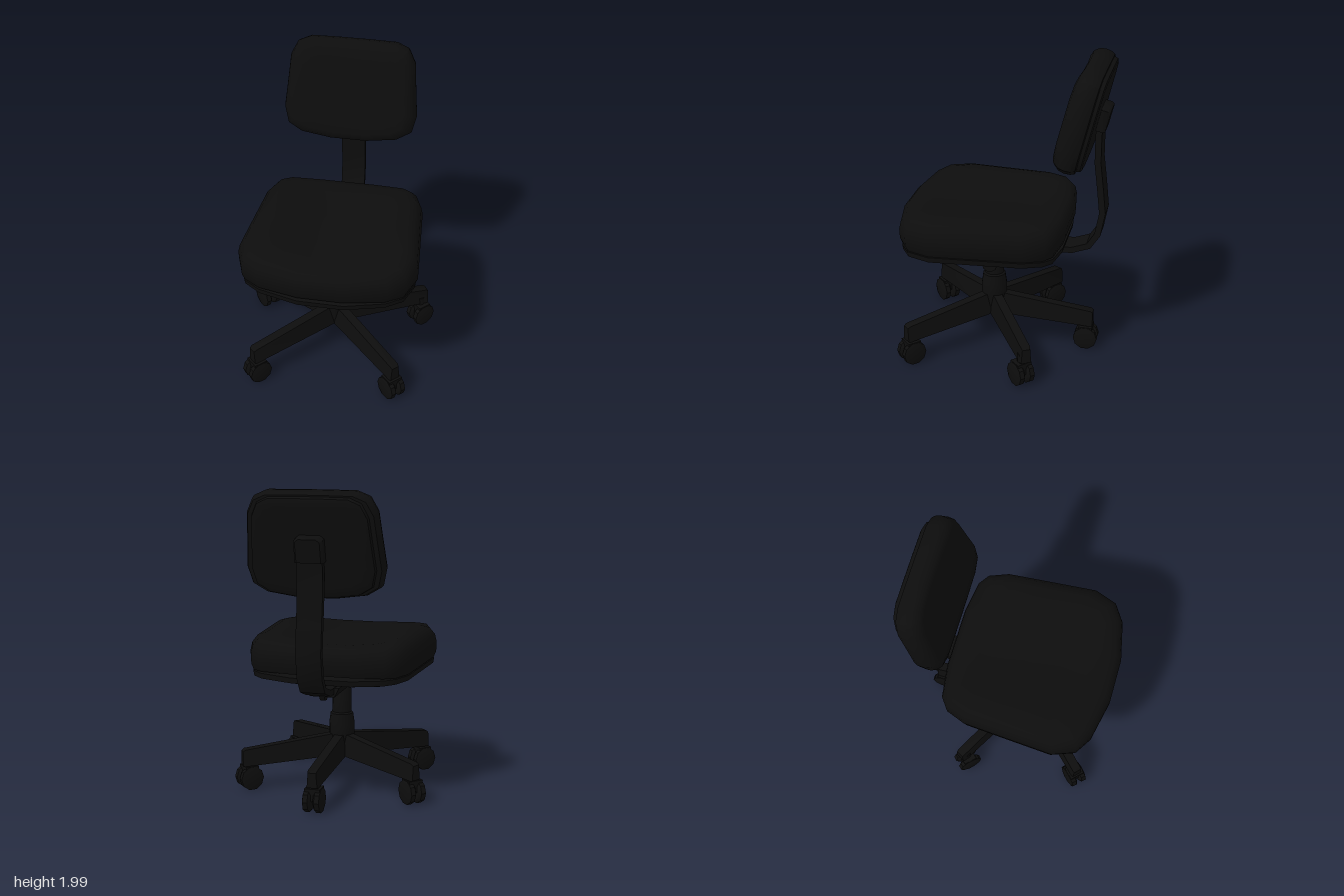
import * as THREE from 'three';
import { toCreasedNormals } from 'three/addons/utils/BufferGeometryUtils.js';

const material = new THREE.MeshStandardMaterial({ color: 0x0d0d0d });

function add(parent, name, geometry, x = 0, y = 0, z = 0) {
  const mesh = new THREE.Mesh(geometry, material);
  mesh.name = name;
  mesh.position.set(x, y, z);
  parent.add(mesh);
  return mesh;
}

// Skin a list of equal-length rings and close both ends with a fan
function loft(rings, crease = 0.6) {
  const n = rings[0].length, pos = rings.flat(2), index = [];
  for (let r = 0; r < rings.length - 1; r++) {
    for (let i = 0; i < n; i++) {
      const a = r * n + i, b = r * n + (i + 1) % n;
      index.push(a, b, b + n, a, b + n, a + n);
    }
  }
  [0, rings.length - 1].forEach((r, end) => {
    const c = pos.length / 3;
    for (let k = 0; k < 3; k++) pos.push(rings[r].reduce((s, p) => s + p[k], 0) / n);
    for (let i = 0; i < n; i++) {
      const a = r * n + i, b = r * n + (i + 1) % n;
      index.push(c, ...(end ? [a, b] : [b, a]));
    }
  });
  const g = new THREE.BufferGeometry();
  g.setAttribute('position', new THREE.Float32BufferAttribute(pos, 3));
  g.setIndex(index);
  return toCreasedNormals(g, crease);
}

// Pad from half an outline [x, z]; layers are [scaleX, scaleZ, y], bent by a rule
function pad(half, layers, bend = () => 0) {
  const outline = [...half, ...half.map(([x, z]) => [-x, z]).reverse()];
  return loft(layers.map(([sx, sz, y]) => outline.map(([x, z]) =>
    [x * sx, y + bend(x * sx, y), z * sz])), 0.75);
}

const rect = (w, y0, y1, z, wTop = w) => [[-w, y0, z], [w, y0, z], [wTop, y1, z], [-wTop, y1, z]];

// Flat bar swept along points [z, y]
function bar(points, w, t) {
  return loft(points.map((p, i) => {
    const a = points[Math.max(i - 1, 0)], b = points[Math.min(i + 1, points.length - 1)];
    const dz = b[0] - a[0], dy = b[1] - a[1], l = Math.hypot(dz, dy);
    const ny = dz / l * t, nz = -dy / l * t;
    return [[-w, -1], [w, -1], [w, 1], [-w, 1]].map(([x, s]) => [x, p[1] + s * ny, p[0] + s * nz]);
  }));
}

function createCaster() {
  const caster = new THREE.Group();
  caster.name = 'caster';
  for (const s of [-1, 1]) {
    const profile = [[0, -0.026], [0.062, -0.026], [0.08, -0.014], [0.08, 0.018], [0.055, 0.026], [0, 0.026]]
      .map(([r, y]) => new THREE.Vector2(r, y));
    const wheel = add(caster, 'wheel', toCreasedNormals(new THREE.LatheGeometry(profile, 10), 0.5), s * 0.035, 0.085, 0);
    wheel.rotation.z = -s * Math.PI / 2;
  }
  add(caster, 'casterHousing', new THREE.BoxGeometry(0.1, 0.08, 0.09), 0, 0.125, 0);
  add(caster, 'casterStem', new THREE.CylinderGeometry(0.025, 0.025, 0.07, 8), 0, 0.185, 0);
  return caster;
}

export function createModel() {
  const chair = new THREE.Group();
  chair.name = 'officeChair';
  const baseZ = 0.1;

  // Five-legged base: leg direction, caster position and heading
  const base = new THREE.Group();
  base.name = 'base';
  chair.add(base);
  const spokes = [[Math.PI, 0, -0.53, Math.PI]];
  for (const s of [-1, 1]) {
    spokes.push([s * 2.1, s * 0.55, -0.2, s * Math.PI * 0.75]);
    spokes.push([s * 0.78, s * 0.45, 0.555, s * Math.PI / 4]);
  }
  for (const [angle, cx, cz, heading] of spokes) {
    const leg = add(base, 'leg', loft([
      rect(0.05, 0.215, 0.36, 0.02, 0.035),
      rect(0.045, 0.205, 0.35, 0.09, 0.03),
      rect(0.038, 0.17, 0.28, 0.66, 0.03),
      rect(0.034, 0.172, 0.268, 0.675, 0.026)]), 0, 0, baseZ);
    leg.rotation.y = angle;
    const caster = createCaster();
    caster.position.set(cx, 0, cz);
    caster.rotation.y = heading;
    base.add(caster);
  }

  // Hub and gas column
  const column = [[0, 0.21], [0.065, 0.21], [0.085, 0.36], [0.085, 0.42], [0.075, 0.49], [0.065, 0.5],
    [0.062, 0.655], [0.055, 0.67], [0.048, 0.67], [0.048, 0.76], [0, 0.76]].map(p => new THREE.Vector2(...p));
  add(chair, 'column', toCreasedNormals(new THREE.LatheGeometry(column, 14), 0.6), 0, 0, baseZ);

  // Height adjustment knob
  for (const [name, r, len, x] of [['knobStem', 0.022, 0.07, 0.085], ['knob', 0.05, 0.035, 0.127]]) {
    add(chair, name, new THREE.CylinderGeometry(r, r, len, 10), x, 0.61, baseZ).rotation.z = Math.PI / 2;
  }

  // Mounting plate and post socket under the seat
  add(chair, 'mountingPlate', new THREE.BoxGeometry(0.45, 0.035, 0.52), 0, 0.768, 0.03);
  add(chair, 'mountingCollar', new THREE.CylinderGeometry(0.12, 0.085, 0.05, 12), 0, 0.735, baseZ);
  add(chair, 'postSocket', loft([rect(0.08, 0.7, 0.76, -0.355, 0.11), rect(0.08, 0.7, 0.76, -0.055, 0.11)]));

  // Seat pan and cushion, dished towards the middle
  const seatOutline = [[0.15, 0.545], [0.41, 0.49], [0.52, 0.42], [0.575, 0.27], [0.555, 0],
    [0.53, -0.33], [0.48, -0.46], [0.41, -0.51], [0.2, -0.54]];
  const dish = (x) => -0.035 * Math.max(0, 1 - (x / 0.47) ** 2);
  add(chair, 'seatPan', pad(seatOutline, [
    [0.5, 0.5, 0.805], [0.93, 0.93, 0.795], [0.965, 0.965, 0.8], [0.975, 0.975, 0.835], [0.9, 0.9, 0.845]],
  x => dish(x) * 0.6), 0, 0, 0.13);
  add(chair, 'seatCushion', pad(seatOutline, [
    [0.9, 0.9, 0.835], [0.97, 0.97, 0.84], [0.995, 0.995, 0.88], [1, 1, 0.94], [0.98, 0.98, 0.995],
    [0.92, 0.925, 1.04], [0.82, 0.82, 1.06], [0.6, 0.65, 1.062], [0.3, 0.35, 1.062]],
  (x, y) => y > 0.95 ? dish(x) * (y - 0.95) / 0.11 : 0), 0, 0, 0.13);

  // Curved back post
  add(chair, 'backPost', bar([[-0.2, 0.738], [-0.43, 0.745], [-0.54, 0.785], [-0.595, 0.87],
    [-0.622, 1.02], [-0.605, 1.18], [-0.583, 1.36], [-0.583, 1.55], [-0.605, 1.68]], 0.08, 0.02));

  // Backrest, modelled lying down and tilted upright
  const backrest = new THREE.Group();
  backrest.name = 'backrest';
  backrest.position.set(0, 1.655, -0.55);
  backrest.rotation.x = Math.PI / 2 - 0.24;
  chair.add(backrest);
  const backOutline = [[0.12, 0.335], [0.32, 0.305], [0.41, 0.25], [0.437, 0.14], [0.42, -0.04],
    [0.405, -0.21], [0.36, -0.3], [0.28, -0.335], [0.1, -0.338]];
  const hollow = (x, y) => y > 0.08 ? -0.02 * Math.max(0, 1 - (x / 0.36) ** 2) * (y - 0.08) / 0.08 : 0;
  add(backrest, 'backCushion', pad(backOutline, [
    [0.9, 0.9, 0], [0.96, 0.96, 0.005], [0.99, 0.99, 0.03], [1, 1, 0.07], [0.98, 0.98, 0.11],
    [0.92, 0.92, 0.145], [0.83, 0.83, 0.16], [0.6, 0.6, 0.162], [0.3, 0.3, 0.162]], hollow));
  add(backrest, 'backShell', pad(backOutline, [
    [0.72, 0.74, -0.03], [0.84, 0.88, -0.03], [0.88, 0.92, -0.022], [0.9, 0.94, 0.01]]));
  add(backrest, 'backBracket', pad([[0.09, 0.07], [0.09, -0.07], [0.065, -0.09]], [
    [0.85, 0.92, -0.09], [1, 1, -0.075], [1, 1, -0.02]]), 0, 0, 0);

  return chair;
}
